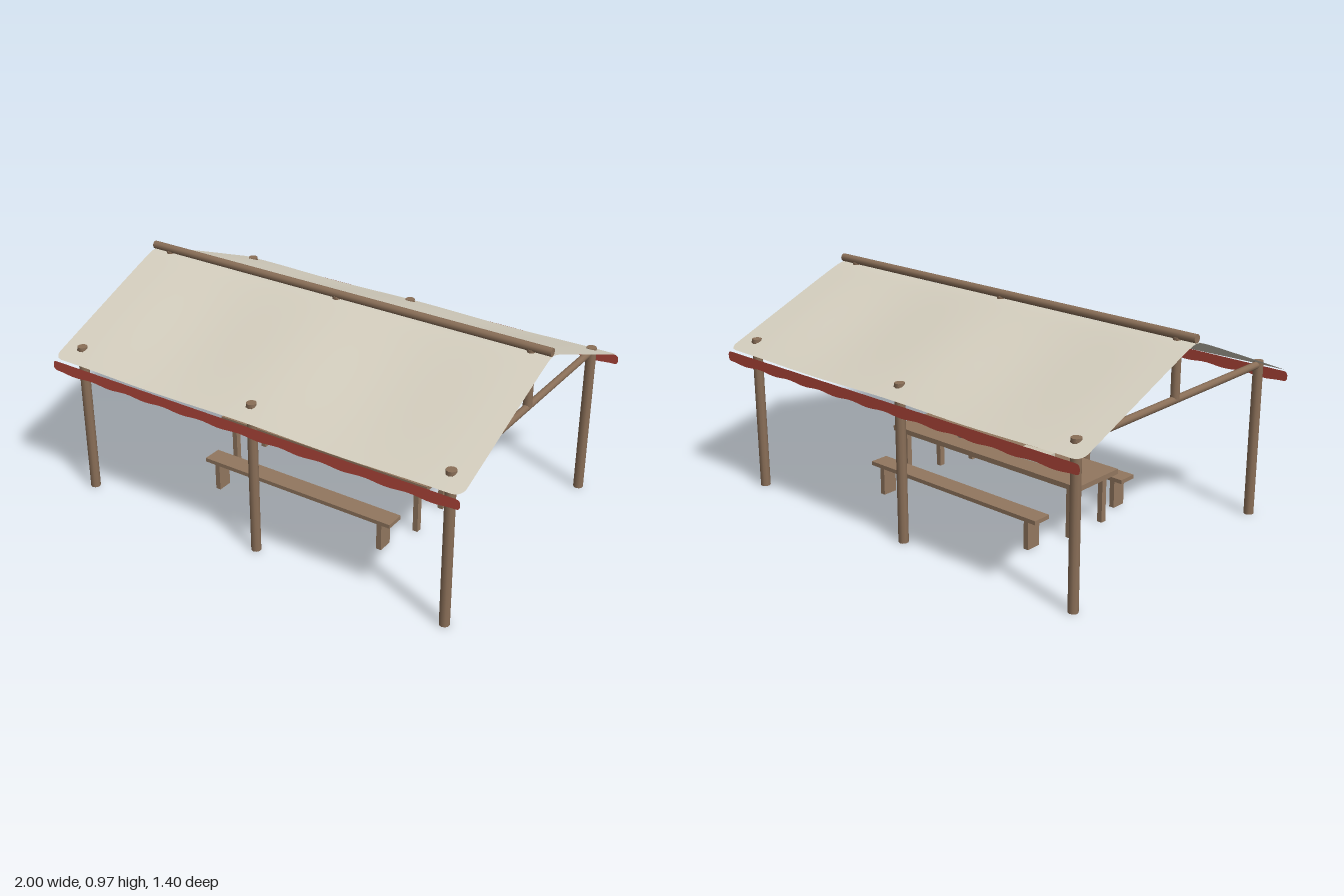
import * as THREE from 'three';

const mat = (name, color, side = THREE.FrontSide) => {
  const m = new THREE.MeshStandardMaterial({ color, side });
  m.name = name;
  return m;
};

export function createModel() {
  const model = new THREE.Group();
  model.name = 'shelter';
  const poleWood = mat('pole wood', 0x8a6f58);
  const plankWood = mat('plank wood', 0x92775f);
  const canvas = mat('canvas', 0xd6d0c0, THREE.DoubleSide);
  const red = mat('red cloth', 0xb5483c, THREE.DoubleSide);
  const paper = mat('paper', 0xcfc8b6);
  const clay = mat('clay', 0xb0a494, THREE.DoubleSide);

  const add = (name, geo, material, x = 0, y = 0, z = 0, parent = model) => {
    const m = new THREE.Mesh(geo, material);
    m.name = name;
    m.position.set(x, y, z);
    parent.add(m);
    return m;
  };
  const box = (name, w, h, d, x, y, z, material = plankWood, parent = model) =>
    add(name, new THREE.BoxGeometry(w, h, d), material, x, y, z, parent);
  const pole = (r, length) => new THREE.CylinderGeometry(r, r, length, 10);

  // Three frames: two posts, a tie beam and a king post each
  for (const x of [-0.91, 0, 0.91]) {
    for (const z of [-0.607, 0.607]) add('post', pole(0.022, 0.7), poleWood, x, 0.35, z);
    add('tieBeam', pole(0.016, 1.25).rotateX(Math.PI / 2), poleWood, x, 0.683, 0);
    add('kingPost', pole(0.019, 0.255), poleWood, x, 0.8125, 0);
  }
  add('ridgePole', pole(0.018, 2).rotateZ(Math.PI / 2), poleWood, 0, 0.948, 0);

  // Canvas draped over the ridge, sagging between frames, with rounded corners
  const depth = 0.69, corner = 0.04;
  const roof = new THREE.PlaneGeometry(2, 2, 48, 96).rotateX(-Math.PI / 2);
  const p = roof.attributes.position;
  for (let i = 0; i < p.count; i++) {
    const t = p.getZ(i);
    // Rows bunch up towards the eaves so that the corners stay round
    const z = depth * Math.sign(t) * (1 - (1 - Math.abs(t)) ** 1.3);
    const edge = Math.min(corner, depth - Math.abs(z));
    const inset = corner - Math.sqrt(Math.max(0, corner ** 2 - (corner - edge) ** 2));
    const x = p.getX(i) * (1 - inset);
    const sag = Math.abs(x) < 0.91 ? Math.sin((Math.PI * x) / 0.91) ** 2 : 0;
    const across = 0.006 + 0.008 * Math.sin((Math.PI * Math.abs(z)) / depth);
    p.setXYZ(i, x, 0.942 - 0.415 * Math.hypot(z, 0.03) - sag * across, z);
  }
  roof.computeVertexNormals();
  add('canvasRoof', roof, canvas);

  // Scalloped valance along each eave
  const top = 0.646, bottom = 0.602, r = 0.02;
  const outline = new THREE.Shape();
  outline.moveTo(-1 + r, top);
  outline.quadraticCurveTo(-1, top, -1, top - r);
  outline.lineTo(-1, bottom + r);
  outline.quadraticCurveTo(-1, bottom, -1 + r, bottom);
  for (let i = 1; i <= 100; i++) {
    const u = i / 100;
    outline.lineTo((-1 + r) * (1 - 2 * u), bottom - 0.007 * Math.sin(Math.PI * 10 * u) ** 2);
  }
  outline.quadraticCurveTo(1, bottom, 1, bottom + r);
  outline.lineTo(1, top - r);
  outline.quadraticCurveTo(1, top, 1 - r, top);
  outline.closePath();
  for (const z of [-0.698, 0.698]) {
    const v = add('valance', new THREE.ShapeGeometry(outline), red, 0, 0, z);
    if (z < 0) v.rotation.y = Math.PI;
  }

  // Table with four legs
  const table = new THREE.Group();
  table.name = 'table';
  model.add(table);
  box('tableTop', 1.09, 0.023, 0.272, 0, 0.239, 0, plankWood, table);
  for (const x of [-0.485, 0.485])
    for (const z of [-0.107, 0.107])
      box('tableLeg', 0.024, 0.228, 0.027, x, 0.114, z, plankWood, table);

  // Two benches on slab legs
  for (const z of [-0.288, 0.288]) {
    const bench = new THREE.Group();
    bench.name = 'bench';
    bench.position.z = z;
    model.add(bench);
    box('benchSeat', 0.97, 0.018, 0.088, 0, 0.138, 0, plankWood, bench);
    for (const x of [-0.428, 0.428]) box('benchLeg', 0.024, 0.13, 0.07, x, 0.065, 0, plankWood, bench);
  }

  // Things on the table
  box('ledger', 0.155, 0.02, 0.105, -0.185, 0.26, 0.005, paper).rotation.y = 0.08;
  const profile = [[0, 0], [0.018, 0], [0.026, 0.012], [0.03, 0.026], [0.026, 0.026], [0.018, 0.008], [0, 0.006]]
    .map(([x, y]) => new THREE.Vector2(x, y));
  add('bowl', new THREE.LatheGeometry(profile, 16), clay, 0.21, 0.25, -0.03);

  return model;
}
